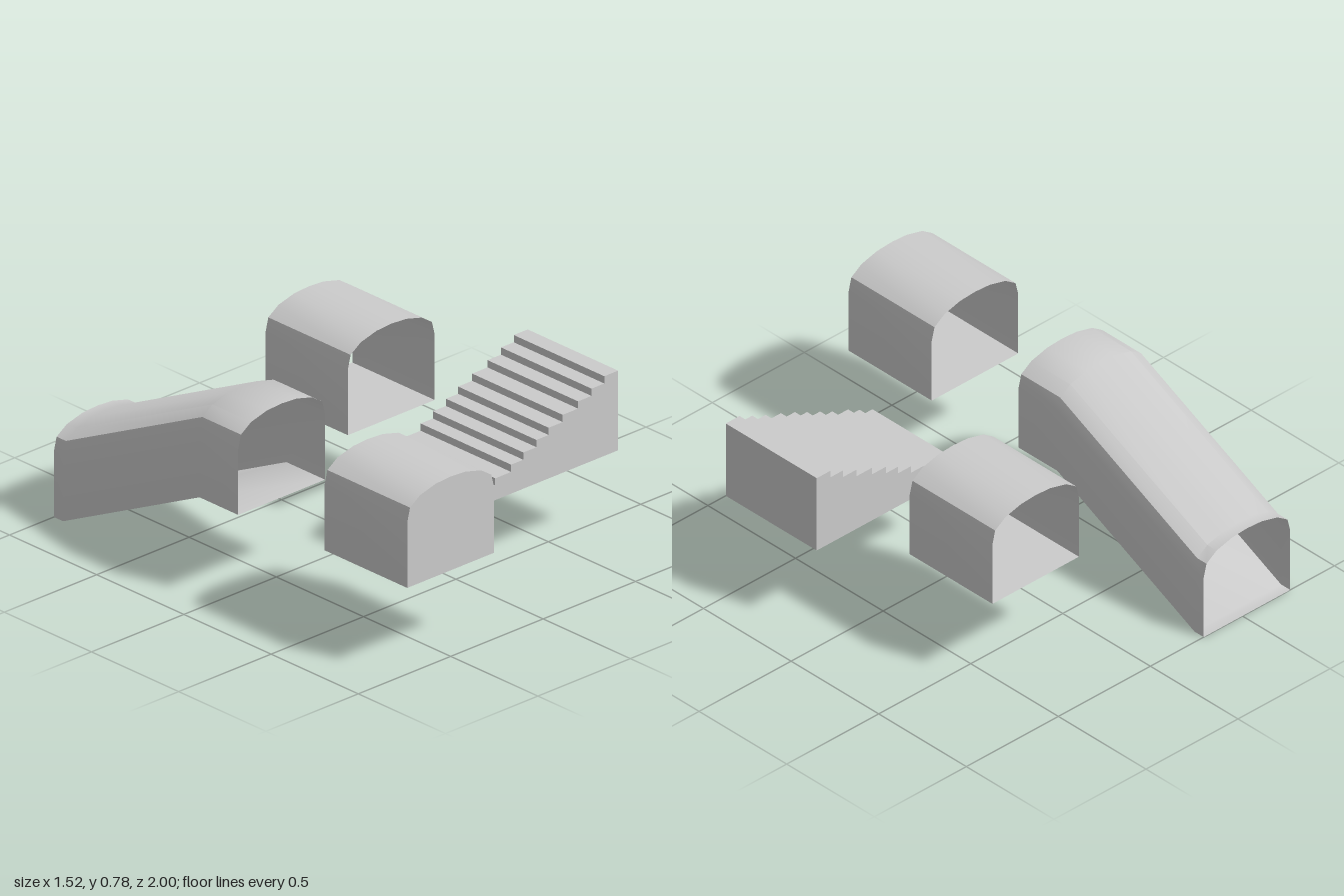
import * as THREE from 'three';
import { toCreasedNormals } from 'three/addons/utils/BufferGeometryUtils.js';

const material = new THREE.MeshStandardMaterial({ color: 0xcccccc, side: THREE.DoubleSide });

// Arched cross-section, counter-clockwise from the lower right, base at y = 0.
const half = [[0.235, 0], [0.235, 0.285], [0.22, 0.345], [0.165, 0.382], [0.08, 0.404]];
const arch = [...half, [0, 0.409], ...half.map(([x, y]) => [-x, y]).reverse()];

// Sweeps an outline through stations [z, y] running from front to back.
function sweep(outline, stations, closed) {
  const pos = [];
  const at = (i, s) => {
    const [x, y] = outline[i % outline.length];
    return [x, y + stations[s][1], stations[s][0]];
  };
  const count = closed ? outline.length : outline.length - 1;
  for (let s = 0; s < stations.length - 1; s++) {
    for (let i = 0; i < count; i++) {
      const a = at(i, s), b = at(i + 1, s), c = at(i, s + 1), d = at(i + 1, s + 1);
      pos.push(...a, ...c, ...b, ...b, ...c, ...d);
    }
  }
  const g = new THREE.BufferGeometry();
  g.setAttribute('position', new THREE.Float32BufferAttribute(pos, 3));
  return toCreasedNormals(g, Math.PI / 6);
}

function addMesh(parent, name, geometry) {
  const mesh = new THREE.Mesh(geometry, material);
  mesh.name = name;
  parent.add(mesh);
  return mesh;
}

// Flat wall filling an outline at depth z.
function addPanel(parent, name, outline, z, y = 0) {
  const shape = new THREE.Shape(outline.map(([px, py]) => new THREE.Vector2(px, py)));
  addMesh(parent, name, new THREE.ShapeGeometry(shape)).position.set(0, y, z);
}

function makeTunnel(name, x, stations) {
  const group = new THREE.Group();
  group.name = name;
  group.position.x = x;
  addMesh(group, name + 'Shell', sweep(arch, stations, true));
  return group;
}

export function createModel() {
  const model = new THREE.Group();
  const base = 0.375;

  // Dead-end tunnel, closed at the front
  const endTunnel = makeTunnel('endTunnel', -0.5, [[1, base], [0.526, base]]);
  addPanel(endTunnel, 'endWall', arch, 1, base);
  model.add(endTunnel);

  // Straight tunnel, open at both ends
  model.add(makeTunnel('straightTunnel', 0.29, [[-0.178, base], [-0.65, base]]));

  // Sloping tunnel, open at both ends
  model.add(makeTunnel('slopingTunnel', -0.525,
    [[0.057, base], [-0.165, base], [-0.947, 0], [-1, 0]]));

  // Staircase, hollow and open underneath
  const stairs = new THREE.Group();
  stairs.name = 'staircase';
  const risers = [-0.04, 0.03, 0.092, 0.178, 0.244, 0.315, 0.381, 0.457, 0.54, 0.613, 0.682];
  const bottom = 0.359, rise = (0.706 - bottom) / risers.length;
  const outline = [[0.757, bottom], [0.757, 0.706]];
  for (let i = risers.length - 1; i >= 0; i--) {
    outline.push([risers[i], bottom + rise * (i + 1)], [risers[i], bottom + rise * i]);
  }
  addMesh(stairs, 'stepsAndBack', sweep(outline, [[0.628, 0], [0.109, 0]], false));
  addPanel(stairs, 'frontSide', outline, 0.628);
  addPanel(stairs, 'rearSide', outline, 0.109);
  model.add(stairs);

  return model;
}
